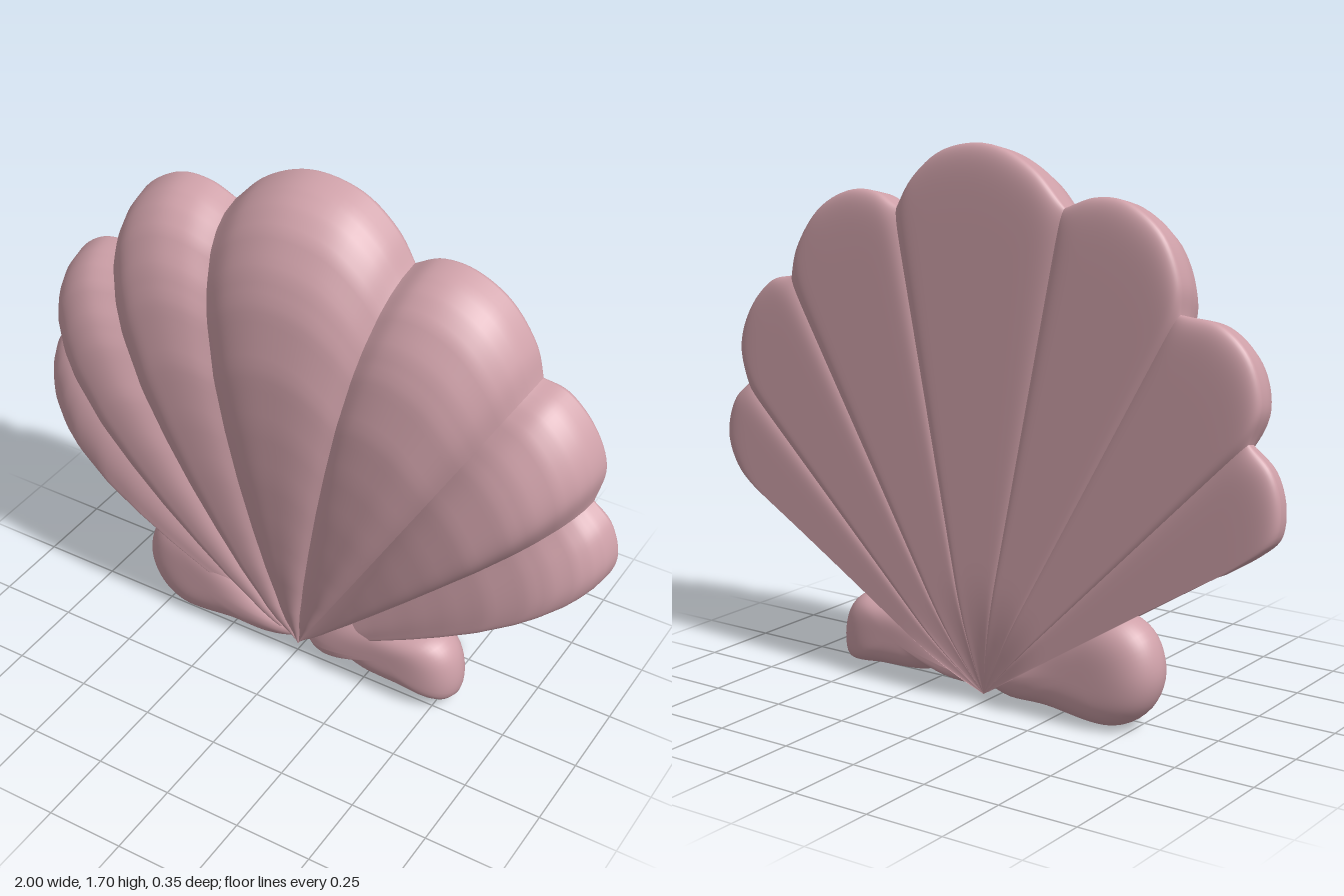
import * as THREE from 'three';

const pink = new THREE.MeshStandardMaterial({ color: 0xcfa1a9 });
pink.name = 'dusty pink';

// Closed-over sheet of (rows + 1) x (cols + 1) points; rows run outward, columns clockwise
function sheet(rows, cols, point) {
  const pos = [], index = [];
  for (let i = 0; i <= rows; i++) {
    for (let j = 0; j <= cols; j++) {
      pos.push(...point(i / rows, j / cols));
      if (i === rows || j === cols) continue;
      const a = i * (cols + 1) + j, c = a + cols + 1;
      index.push(a, a + 1, c, a + 1, c + 1, c);
    }
  }
  const geo = new THREE.BufferGeometry();
  geo.setAttribute('position', new THREE.Float32BufferAttribute(pos, 3));
  geo.setIndex(index);
  geo.computeVertexNormals();
  return geo;
}

const curve = (pts, closed = false) => new THREE.CatmullRomCurve3(
  pts.map(([x, y]) => new THREE.Vector3(x, y, 0)), closed);

// Thickness along a rib from the hinge (0) to the rim (1)
const PROFILE = [[0, 0.09], [0.1, 0.19], [0.22, 0.25], [0.34, 0.28], [0.46, 0.303], [0.58, 0.315],
  [0.7, 0.315], [0.82, 0.285], [0.88, 0.25], [0.94, 0.19], [0.97, 0.137], [0.99, 0.075], [1, 0]];
function thickness(s) {
  let k = 1;
  while (k < PROFILE.length - 1 && PROFILE[k][0] < s) k++;
  const [s0, t0] = PROFILE[k - 1], [s1, t1] = PROFILE[k];
  return t0 + (t1 - t0) * (s - s0) / (s1 - s0);
}

const HINGE = [0, 0.025];

// rim: scalloped edge points; crest, left, right: relative heights (0 = outer wall)
const RIBS = [
  { crest: 0.68, left: 0, right: 0.56, rim: [[-0.84, 0.55], [-0.93, 0.61], [-0.99, 0.67], [-1, 0.77], [-0.97, 0.86], [-0.9, 0.925]] },
  { crest: 0.88, left: 0.56, right: 0.76, rim: [[-0.9, 0.925], [-0.935, 1.03], [-0.9, 1.16], [-0.81, 1.24], [-0.68, 1.26]] },
  { crest: 0.96, left: 0.76, right: 0.87, rim: [[-0.68, 1.26], [-0.68, 1.35], [-0.62, 1.48], [-0.5, 1.56], [-0.4, 1.565], [-0.3, 1.53]] },
  { crest: 1, left: 0.87, right: 0.87, rim: [[-0.3, 1.53], [-0.2, 1.63], [-0.08, 1.69], [0.02, 1.7], [0.14, 1.67], [0.24, 1.59], [0.3, 1.5]] },
  { crest: 0.96, left: 0.87, right: 0.76, rim: [[0.3, 1.5], [0.38, 1.54], [0.48, 1.54], [0.6, 1.48], [0.69, 1.36], [0.72, 1.26]] },
  { crest: 0.88, left: 0.76, right: 0.56, rim: [[0.72, 1.26], [0.8, 1.24], [0.89, 1.15], [0.935, 1.03], [0.91, 0.9]] },
  { crest: 0.68, left: 0.56, right: 0, rim: [[0.91, 0.9], [0.97, 0.84], [1, 0.73], [0.97, 0.64], [0.92, 0.59], [0.84, 0.55]] },
];

function ribGeometry({ crest, left, right, rim }) {
  const edge = curve(rim);
  return sheet(96, 40, (v, t) => {
    const front = v <= 0.5;
    const r = front ? 1 - v * 2 : v * 2 - 1;
    const s = 1 - r * r;                                   // rows crowd toward the rim
    const q = (1 - Math.cos(Math.PI * t)) / 2;             // columns crowd toward the grooves
    const u = Math.min(1, Math.abs(2 * q - 1));
    const side = q < 0.5 ? left : right;
    const outer = side === 0;
    const p = edge.getPointAt(q);
    const bow = outer ? 0.045 * Math.sin(Math.PI * s) * u ** 4 : 0;
    const base = -0.14 + 0.05 * Math.max(0, 1 - s / 0.25) ** 2;
    let z;
    if (front) {
      const h = outer ? crest * Math.sqrt(1 - u ** 4) : crest - (crest - side) * u ** 2.5;
      z = base + thickness(s) * h;
    } else {
      const round = Math.sqrt(1 - s ** 40) * (outer ? Math.sqrt(1 - u ** 20) : 1);
      z = base - 0.033 * round + (outer ? 0 : 0.012 * s * u ** 10 * round);
    }
    return [HINGE[0] + (p.x - HINGE[0]) * s, HINGE[1] + (p.y - HINGE[1]) * s + bow, z];
  });
}

// Cushion-shaped lug swelling inside a clockwise outline
function earGeometry(outline, [cx, cy]) {
  const edge = curve(outline, true);
  return sheet(40, 64, (v, t) => {
    const a = v * Math.PI, k = Math.sin(a);
    const p = edge.getPointAt(t % 1);
    const z = -0.055 + Math.sign(Math.cos(a)) * 0.105 * Math.sqrt(Math.max(0, 1 - k ** 4));
    return [cx + (p.x - cx) * k, cy + (p.y - cy) * k, z];
  });
}

export function createModel() {
  const model = new THREE.Group();
  model.name = 'scallopShell';
  const add = (name, geo) => {
    const mesh = new THREE.Mesh(geo, pink);
    mesh.name = name;
    model.add(mesh);
  };

  // Fan of ribs
  RIBS.forEach((rib, i) => add(`rib${i + 1}`, ribGeometry(rib)));

  // Hinge ears, uneven on the two sides
  add('rightEar', earGeometry([[-0.45, 0.005], [-0.55, 0.07], [-0.59, 0.18], [-0.55, 0.3], [-0.45, 0.35],
    [-0.3, 0.3], [-0.12, 0.17], [0.02, 0.06], [-0.05, 0.025], [-0.2, 0.022]], [-0.36, 0.16]));
  add('leftEar', earGeometry([[0.02, 0.06], [0.1, 0.17], [0.25, 0.245], [0.4, 0.26], [0.5, 0.25], [0.55, 0.2],
    [0.57, 0.09], [0.55, 0.035], [0.4, 0.037], [0.25, 0.045], [0.14, 0.07], [0.06, 0.035]], [0.34, 0.15]));
  return model;
}
